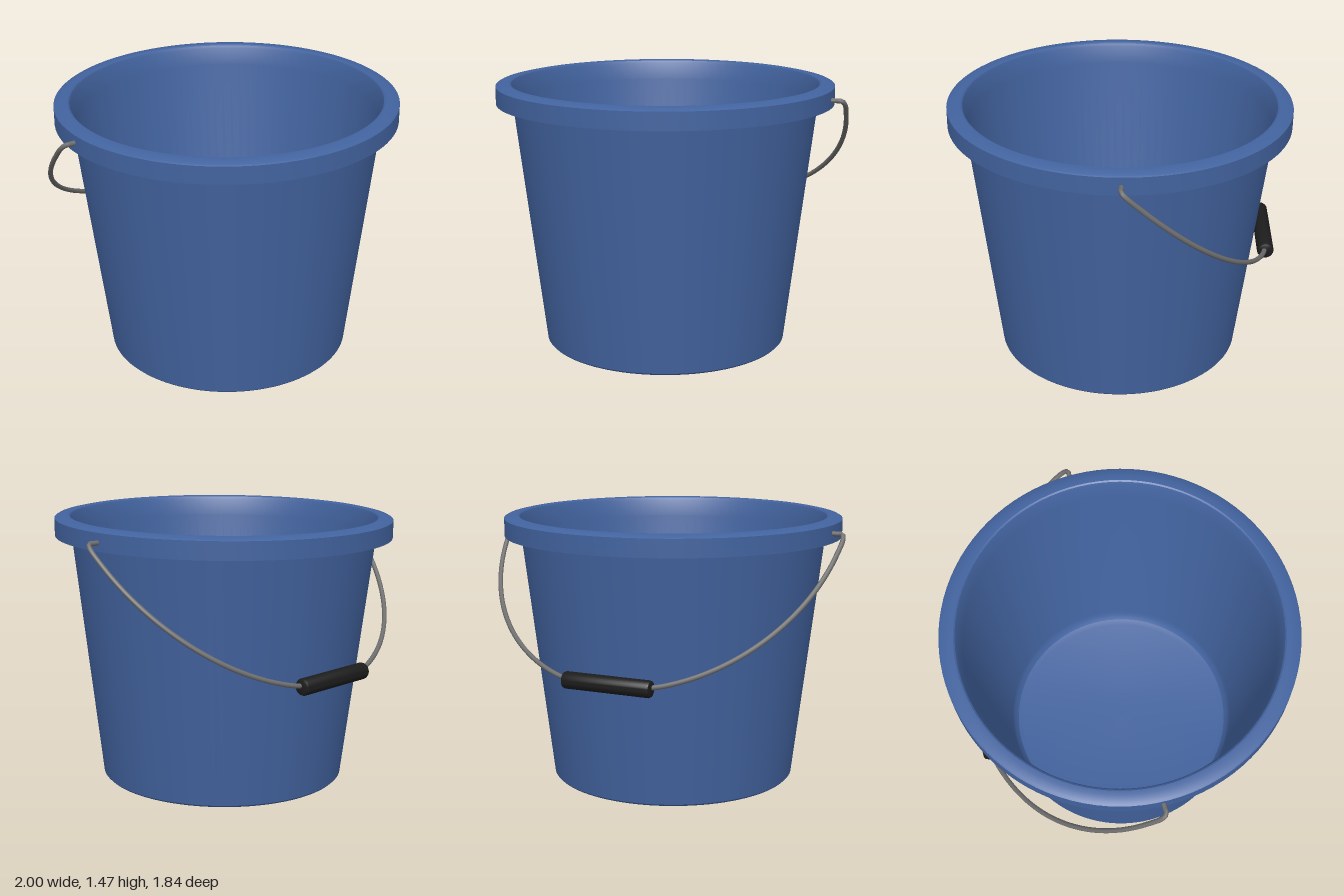
import * as THREE from 'three';
import { toCreasedNormals } from 'three/addons/utils/BufferGeometryUtils.js';

const V2 = (x, y) => new THREE.Vector2(x, y);
const paint = (color) => new THREE.MeshStandardMaterial({ color });

// Closed cross-section turned round the vertical axis, keeping sharp edges.
function turned(name, points, material, segments) {
  const profile = points.map(([r, y]) => V2(r, y));
  const geometry = toCreasedNormals(new THREE.LatheGeometry(profile, segments), 0.5);
  const mesh = new THREE.Mesh(geometry, material);
  mesh.name = name;
  return mesh;
}

export function createModel() {
  const model = new THREE.Group();
  model.name = 'bucket';
  const plastic = paint(0x42639f);
  const wire = paint(0x6e6e6e);
  const rubber = paint(0x1c1c1c);

  // Tapered shell with an overhanging rim and a filleted inside floor
  const body = turned('bucketBody', [
    [0, 0], [0.66, 0], [0.67, 0.01],
    [0.83, 1.345], [0.92, 1.345], [0.92, 1.44], [0.91, 1.446], [0.87, 1.455], [0.845, 1.455],
    [0.837, 1.45], [0.83, 1.435], [0.81, 1.345],
    [0.655, 0.11], [0.645, 0.075], [0.625, 0.05], [0.59, 0.04], [0, 0.04],
  ], plastic, 96);
  body.position.set(0.004, 0.003, 0.006);
  body.rotation.set(-0.007, 0, 0.004);
  model.add(body);

  // Wire bail: an elliptical half loop hanging down behind the bucket
  const pivot = new THREE.Vector3(0, 1.395, -0.03);
  const low = new THREE.Vector3(0, 0.67, -0.8);
  const reach = 0.985;
  const onLoop = (x, t) => pivot.clone().lerp(low, t).setX(x);
  const path = [onLoop(-0.88, 0), onLoop(-0.94, 0), onLoop(-0.972, 0.001)];
  const steps = 32;
  for (let i = 0; i <= steps; i++) {
    const a = 0.03 + (Math.PI - 0.06) * (i / steps);
    path.push(onLoop(-reach * Math.cos(a), Math.min(1, Math.sin(a) * 1.025)));
  }
  path.push(onLoop(0.972, 0.001), onLoop(0.94, 0), onLoop(0.88, 0));
  const handle = new THREE.Mesh(
    new THREE.TubeGeometry(new THREE.CatmullRomCurve3(path), 200, 0.013, 10), wire);
  handle.name = 'wireHandle';
  model.add(handle);

  // Grip sleeve with softened ends
  const half = 0.25, r = 0.045;
  const grip = turned('handleGrip', [
    [0, -half], [r - 0.015, -half], [r - 0.004, -half + 0.005], [r, -half + 0.015],
    [r, half - 0.015], [r - 0.004, half - 0.005], [r - 0.015, half], [0, half],
  ], rubber, 32);
  grip.rotation.z = Math.PI / 2;
  grip.position.copy(low);
  model.add(grip);

  return model;
}
